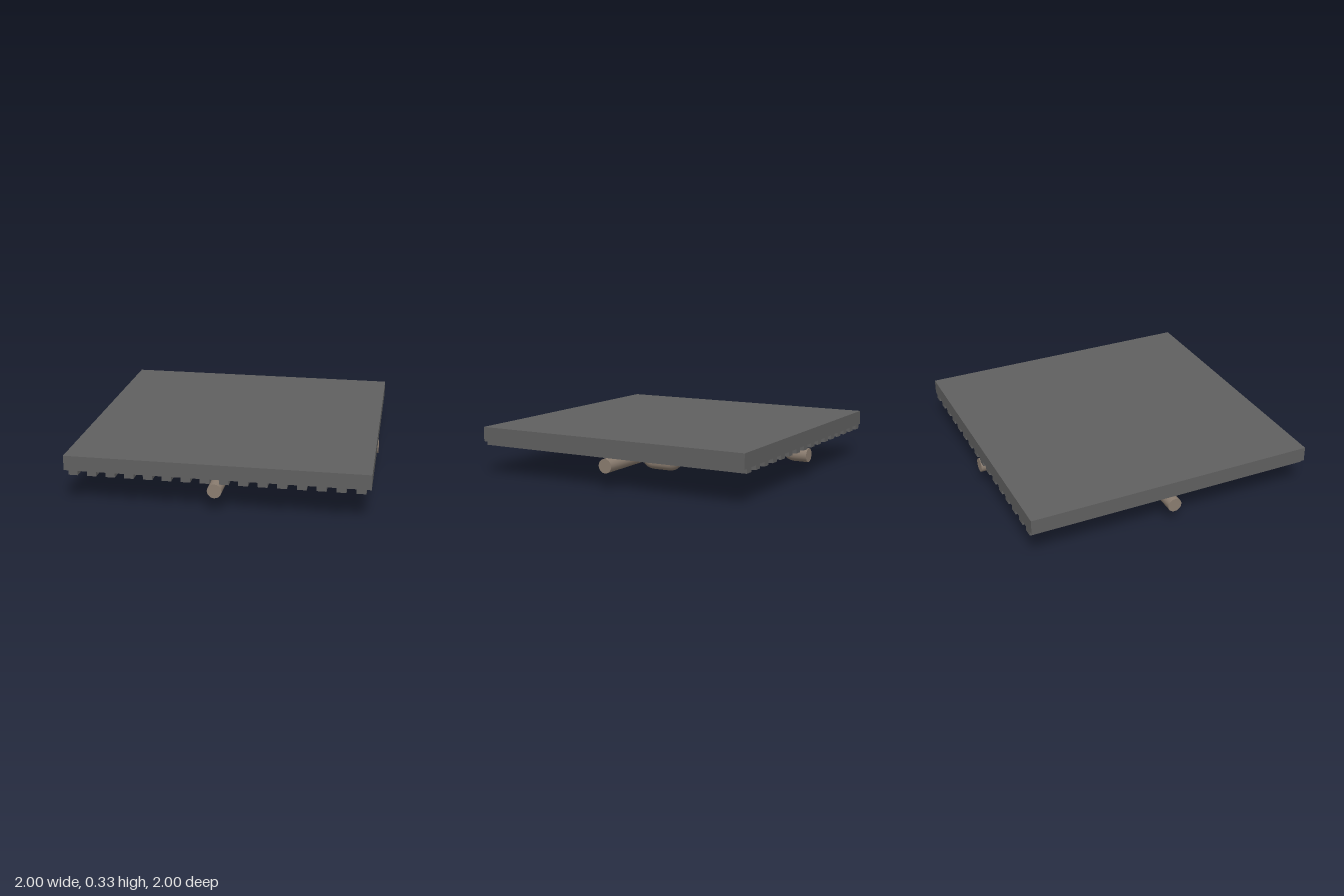
import * as THREE from 'three';

const R = 0.048; // pipe radius
const Y = 0.158; // height of the pipe runs

export function createModel() {
  const model = new THREE.Group();
  const slabGrey = new THREE.MeshStandardMaterial({ color: 0x606060 });
  slabGrey.name = 'slabGrey';
  const pipeBrown = new THREE.MeshStandardMaterial({ color: 0x8b7d70 });
  pipeBrown.name = 'pipeBrown';

  const add = (parent, name, geometry, material, x = 0, y = 0, z = 0) => {
    const mesh = new THREE.Mesh(geometry, material);
    mesh.name = name;
    mesh.position.set(x, y, z);
    parent.add(mesh);
    return mesh;
  };

  // Slab with ribs running front to back underneath
  add(model, 'slab', new THREE.BoxGeometry(1.994, 0.1, 1.994), slabGrey, 0, 0.285, -0.002);
  const ribs = new THREE.Group();
  ribs.name = 'ribs';
  model.add(ribs);
  const ribGeometry = new THREE.BoxGeometry(0.0625, 0.032, 1.994);
  for (let i = 0; i < 16; i++) {
    add(ribs, 'rib', ribGeometry, slabGrey, -0.9345 + i * 0.1246, 0.221, -0.002);
  }

  // Pipe through corner points, with rounded elbows and flat end caps
  const addPipe = (name, corners, segments, bend = 0.055) => {
    const group = new THREE.Group();
    group.name = name;
    model.add(group);
    const pts = corners.map((c) => new THREE.Vector3(...c));
    const path = new THREE.CurvePath();
    let from = pts[0];
    for (let i = 1; i < pts.length - 1; i++) {
      const toward = (p) => p.clone().sub(pts[i]).setLength(bend).add(pts[i]);
      const a = toward(pts[i - 1]);
      const b = toward(pts[i + 1]);
      if (from.distanceTo(a) > 1e-4) path.add(new THREE.LineCurve3(from, a));
      path.add(new THREE.QuadraticBezierCurve3(a, pts[i], b));
      from = b;
    }
    const last = pts[pts.length - 1];
    path.add(new THREE.LineCurve3(from, last));
    path.arcLengthDivisions = 600;
    add(group, 'pipeBody', new THREE.TubeGeometry(path, segments, R, 20), pipeBrown);
    [[pts[0], pts[1]], [last, pts[pts.length - 2]]].forEach(([end, next]) => {
      const cap = add(group, 'pipeEnd', new THREE.CircleGeometry(R, 20), pipeBrown, end.x, end.y, end.z);
      cap.quaternion.setFromUnitVectors(new THREE.Vector3(0, 0, 1), end.clone().sub(next).normalize());
    });
  };

  // Straight pipe crossing side to side
  addPipe('crossPipe', [[-0.998, Y, 0], [0.998, Y, 0]], 2);

  // Winding pipe: zigzags, dips under the cross pipe, then rises into the slab
  addPipe('windingPipe', [
    [0, Y, 1], [0, Y, 0.555], [-0.112, Y, 0.555], [-0.112, Y, 0.12],
    [0.07, Y, 0.12], [0.07, Y, 0.39], [0.248, Y, 0.39], [0.248, Y, 0.125],
    [0.248, 0.049, 0.125], [0.248, 0.049, -0.102], [0.248, Y, -0.102],
    [0.248, Y, -0.55], [0.248, 0.24, -0.55],
  ], 260, 0.054);

  // Short pipe coming out of the slab at the back
  addPipe('backPipe', [[0, 0.24, -0.848], [0, Y, -0.848], [0, Y, -0.998]], 32);

  return model;
}
